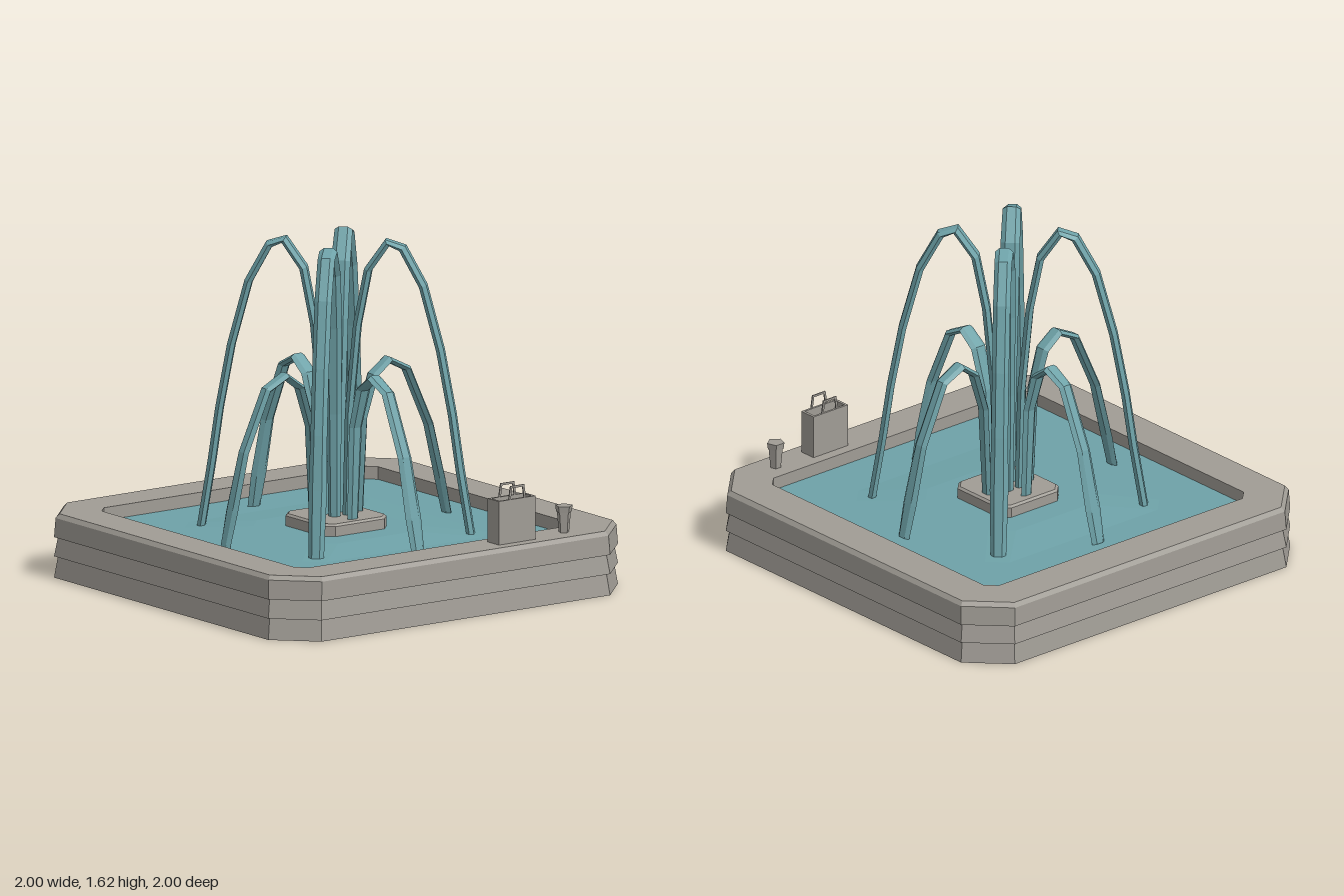
import * as THREE from 'three';

const stone = new THREE.MeshStandardMaterial({ color: 0xa09c95 });
stone.name = 'stone grey';
const water = new THREE.MeshStandardMaterial({ color: 0x6ea2a8 });
water.name = 'water teal';
const dark = new THREE.MeshStandardMaterial({ color: 0x2b2829 });
dark.name = 'underside black';

// Flat-shaded skin over equal-length rings, with optional end caps
function loft(rings, capStart = false, capEnd = false) {
  const pos = [];
  const tri = (...pts) => pts.forEach((p) => pos.push(...p));
  const n = rings[0].length;
  for (let r = 0; r < rings.length - 1; r++) {
    for (let i = 0; i < n; i++) {
      const j = (i + 1) % n;
      const [a, b, c, d] = [rings[r][i], rings[r][j], rings[r + 1][j], rings[r + 1][i]];
      tri(a, b, c);
      tri(a, c, d);
    }
  }
  const first = rings[0], last = rings[rings.length - 1];
  for (let i = 1; i < n - 1; i++) {
    if (capStart) tri(first[0], first[i + 1], first[i]);
    if (capEnd) tri(last[0], last[i], last[i + 1]);
  }
  const g = new THREE.BufferGeometry();
  g.setAttribute('position', new THREE.Float32BufferAttribute(pos, 3));
  g.computeVertexNormals();
  return g;
}

// Square ring with cut corners: half width, corner cut, height
function octagon([h, cut, y]) {
  const k = h - cut;
  return [[h, k], [h, -k], [k, -h], [-k, -h], [-h, -k], [-h, k], [-k, h], [k, h]]
    .map(([x, z]) => [x, y, z]);
}

// Hexagonal ribbon of water along a path of [radius, height, half width]
function jetGeometry(path, thick) {
  const rings = path.map(([x, y, w], i) => {
    const p = path[Math.max(i - 1, 0)], q = path[Math.min(i + 1, path.length - 1)];
    const len = Math.hypot(q[0] - p[0], q[1] - p[1]);
    const nx = -(q[1] - p[1]) / len, ny = (q[0] - p[0]) / len;
    return [[1, 0.5], [0, 1], [-1, 0.5], [-1, -0.5], [0, -1], [1, -0.5]]
      .map(([u, v]) => [x + nx * u * thick, y + ny * u * thick, v * w]);
  });
  return loft(rings, true, true);
}

export function createModel() {
  const model = new THREE.Group();
  model.name = 'fountain';
  const add = (name, geometry, material, parent = model) => {
    const m = new THREE.Mesh(geometry, material);
    m.name = name;
    parent.add(m);
    return m;
  };

  // Basin: three tapered courses, bevelled rim and inner wall
  add('basin', loft([
    [1, 0.175, 0], [0.985, 0.17, 0.1],
    [1, 0.175, 0.1], [0.985, 0.17, 0.19],
    [1, 0.175, 0.19], [0.995, 0.175, 0.28], [0.98, 0.17, 0.3],
    [0.79, 0.05, 0.3], [0.79, 0.05, 0.22],
  ].map(octagon)), stone);
  add('underside', loft([octagon([1, 0.175, 0])], true), dark);

  // Water with a gentle swell towards the middle
  add('waterSurface', loft([
    [0.79, 0.05, 0.24], [0.53, 0.08, 0.24], [0.31, 0.09, 0.258],
  ].map(octagon), false, true), water);

  // Central pedestal
  add('pedestal', loft([
    [0.185, 0.045, 0.23], [0.185, 0.045, 0.305], [0.175, 0.042, 0.315],
  ].map(octagon), false, true), stone);

  // Jets: four tall on the diagonals, four short on the axes
  const tall = jetGeometry([
    [0.05, 0.3, 0.028], [0.062, 0.8, 0.035], [0.1, 1.21, 0.042], [0.15, 1.47, 0.045],
    [0.24, 1.6, 0.042], [0.31, 1.575, 0.04], [0.405, 1.4, 0.04], [0.485, 1.1, 0.039],
    [0.54, 0.8, 0.039], [0.575, 0.55, 0.043], [0.625, 0.24, 0.036],
  ], 0.018);
  const short = jetGeometry([
    [0.125, 0.25, 0.03], [0.15, 0.75, 0.037], [0.21, 0.94, 0.042], [0.295, 1.003, 0.04],
    [0.4, 0.95, 0.036], [0.528, 0.67, 0.038], [0.595, 0.4, 0.044], [0.632, 0.24, 0.036],
  ], 0.015);
  for (let i = 0; i < 4; i++) {
    add('shortJet', short, water).rotation.y = i * Math.PI / 2;
    add('tallJet', tall, water).rotation.y = (i + 0.5) * Math.PI / 2;
  }

  // Open shopping bag standing on the rim
  const bag = new THREE.Group();
  bag.name = 'bag';
  bag.position.set(0.347, 0.3, 0.885);
  model.add(bag);
  const rect = (C, w, d) => new C([[-w, -d], [w, -d], [w, d], [-w, d]]
    .map(([x, y]) => new THREE.Vector2(x, y)));
  const wall = rect(THREE.Shape, 0.105, 0.043);
  wall.holes.push(rect(THREE.Path, 0.092, 0.032));
  const walls = new THREE.ExtrudeGeometry(wall, { depth: 0.205, bevelEnabled: false });
  add('bagWalls', walls.rotateX(-Math.PI / 2), stone, bag);
  add('bagFloor', new THREE.BoxGeometry(0.19, 0.02, 0.07), stone, bag).position.y = 0.012;

  // Bag handles, one on each broad side
  const handle = new THREE.Shape([
    [-0.047, 0.2], [-0.036, 0.267], [0.042, 0.267], [0.053, 0.2],
    [0.042, 0.2], [0.033, 0.257], [-0.027, 0.257], [-0.036, 0.2],
  ].map(([x, y]) => new THREE.Vector2(x, y)));
  const handleGeo = new THREE.ExtrudeGeometry(handle, { depth: 0.006, bevelEnabled: false });
  for (const z of [-0.041, 0.035]) add('bagHandle', handleGeo, stone, bag).position.z = z;

  // Five-sided cup with a wider lid
  const cup = new THREE.Group();
  cup.name = 'cup';
  cup.position.set(0.65, 0.3, 0.88);
  model.add(cup);
  const tub = (top, bottom, h) => {
    const g = new THREE.CylinderGeometry(top, bottom, h, 5).toNonIndexed();
    g.computeVertexNormals();
    return g;
  };
  add('cupBody', tub(0.034, 0.025, 0.095), stone, cup).position.y = 0.0475;
  add('cupLid', tub(0.042, 0.038, 0.03), stone, cup).position.y = 0.11;

  return model;
}
